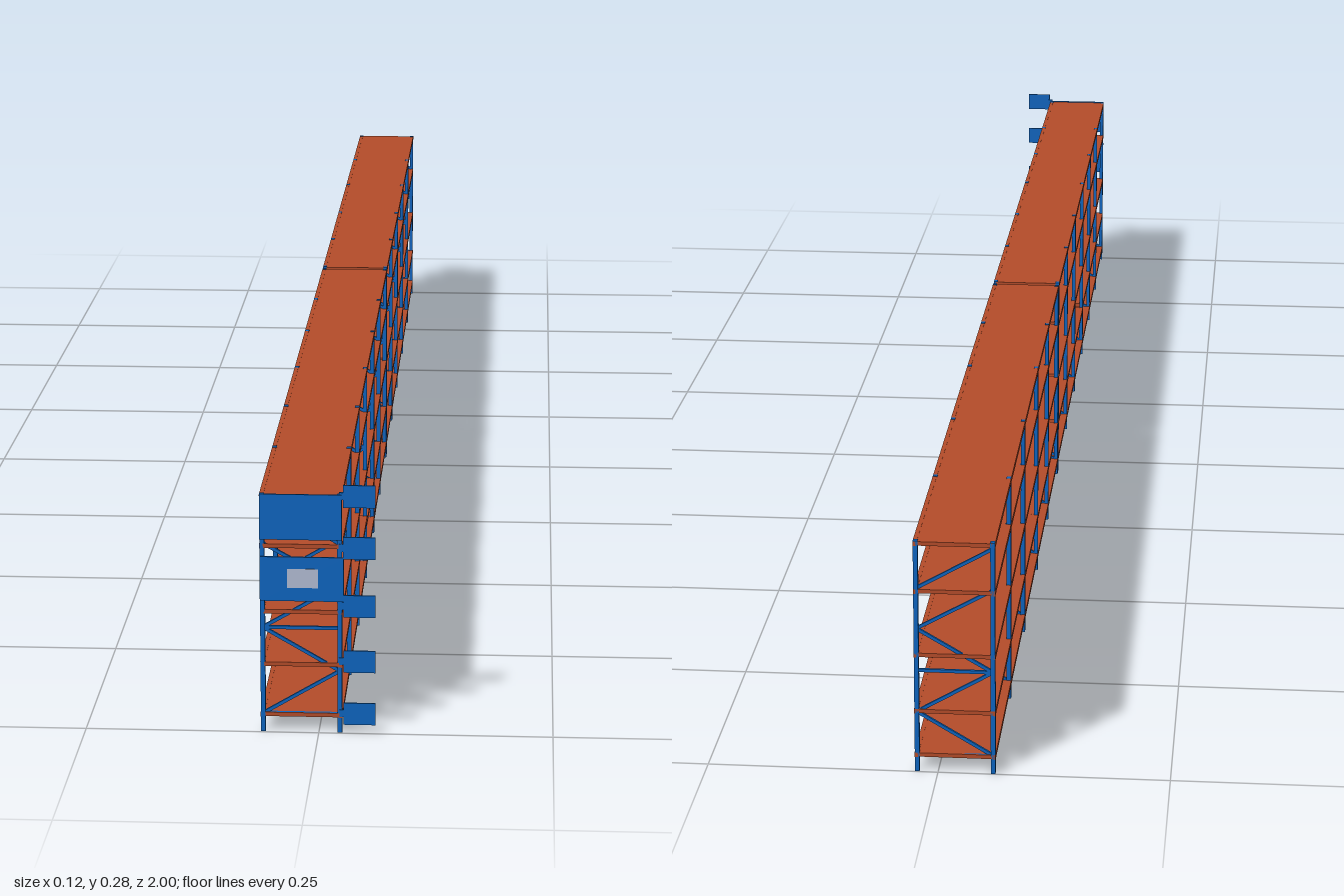
import * as THREE from 'three';

const blue = new THREE.MeshStandardMaterial({ color: 0x0c66c2 });
blue.name = 'blue steel';
const orange = new THREE.MeshStandardMaterial({ color: 0xb64d2a });
orange.name = 'orange decking';
const grey = new THREE.MeshStandardMaterial({ color: 0xb4bfd6 });
grey.name = 'pale grey sign';

const LEFT = -0.0595, RIGHT = 0.0225; // post centres
const TOP = 0.2655;

function box(parent, name, material, w, h, d, x, y, z) {
  const mesh = new THREE.Mesh(new THREE.BoxGeometry(w, h, d), material);
  mesh.name = name;
  mesh.position.set(x, y, z);
  parent.add(mesh);
  return mesh;
}

// A thin bar between two points of a frame's plane
function brace(parent, name, x1, y1, x2, y2) {
  const bar = box(parent, name, blue, Math.hypot(x2 - x1, y2 - y1), 0.0035, 0.003,
    (x1 + x2) / 2, (y1 + y2) / 2, 0);
  bar.rotation.z = Math.atan2(y2 - y1, x2 - x1);
}

// Upright frame: two posts, zigzag diagonals and cross bars
function uprightFrame(z) {
  const frame = new THREE.Group();
  frame.name = 'uprightFrame';
  frame.position.z = z;
  for (const x of [LEFT, RIGHT]) box(frame, 'post', blue, 0.005, TOP, 0.006, x, TOP / 2, 0);
  const nodes = [0.02, 0.069, 0.117, 0.165, 0.211];
  for (let i = 0; i < nodes.length - 1; i++) {
    const even = i % 2 === 0;
    brace(frame, 'diagonalBrace', even ? LEFT : RIGHT, nodes[i], even ? RIGHT : LEFT, nodes[i + 1]);
  }
  brace(frame, 'diagonalBrace', RIGHT, 0.211, LEFT, 0.258);
  for (const y of [0.02, 0.117, 0.208]) brace(frame, 'crossBar', LEFT, y, RIGHT, y);
  return frame;
}

export function createModel() {
  const model = new THREE.Group();
  model.name = 'longShelvingRack';

  // Two runs of bays with a narrow gap between them
  const runs = [
    [0.995, 0.82, 0.653, 0.48, 0.302, 0.135, -0.037],
    [-0.052, -0.224, -0.402, -0.602, -0.797, -0.996],
  ];
  for (const run of runs) {
    for (const z of run) model.add(uprightFrame(z));
    for (let i = 0; i < run.length - 1; i++) {
      const front = run[i] + (i === 0 ? 0.003 : 0);
      const back = run[i + 1] - (i === run.length - 2 ? 0.003 : 0);
      // The second level sits a little higher in the first bays
      const second = run[i + 1] > 0.47 ? 0.0765 : 0.0705;
      for (const y of [0.0195, second, 0.1355, 0.2085, 0.2625]) {
        const depth = front - back, z = (front + back) / 2;
        box(model, 'shelf', orange, 0.08, 0.0045, depth, -0.0185, y, z);
        // Edge beams run just outside the deck
        for (const x of [LEFT - 0.0005, RIGHT + 0.0005]) {
          box(model, 'shelfBeam', orange, 0.0045, 0.0055, depth, x, y - 0.0002, z);
        }
      }
    }
  }

  // Panels on the front end
  box(model, 'topPanel', blue, 0.087, 0.05, 0.002, -0.0185, 0.241, 0.999);
  box(model, 'signPanel', blue, 0.089, 0.049, 0.002, -0.0175, 0.1725, 0.999);
  box(model, 'signFace', grey, 0.033, 0.021, 0.0006, -0.0165, 0.1735, 1.0002);

  // Level marker flags beside the front end
  for (const y of [0.022, 0.081, 0.143, 0.2075, 0.2645]) {
    box(model, 'levelFlag', blue, 0.034, 0.0245, 0.002, 0.0435, y, 0.999);
    box(model, 'flagBracket', blue, 0.006, 0.008, 0.002, 0.025, y, 0.998);
  }
  return model;
}
